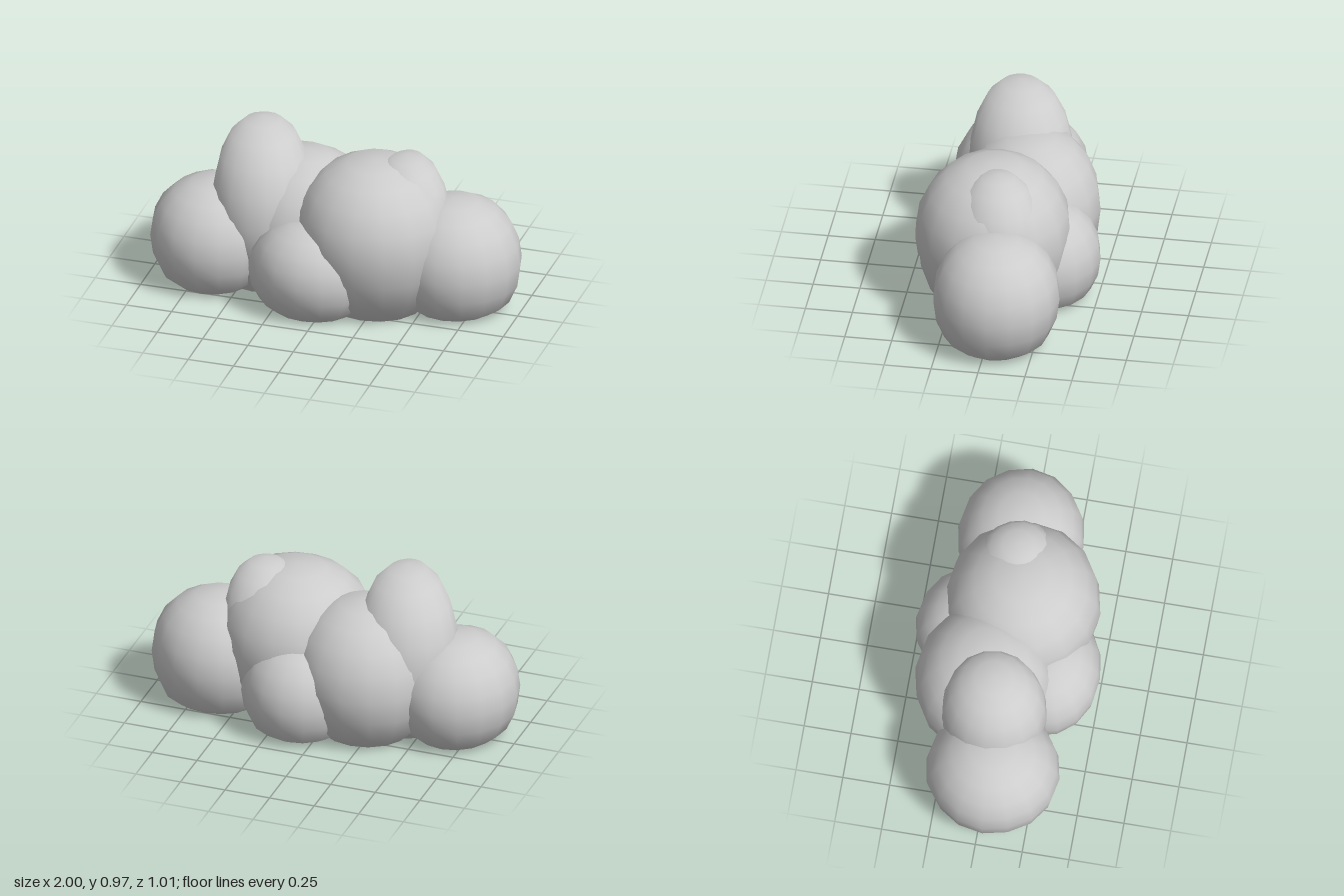
import * as THREE from 'three';

// Boxy low-poly ellipsoid with separate upper and lower heights, flattened
// where it meets the ground. The round sphere normals are kept so that the
// flat base still shades softly.
function puffGeometry([cx, cy, cz], [rx, rUp, rDown, rz], seed) {
  const geo = new THREE.SphereGeometry(1, 16, 10);
  const pos = geo.attributes.position;
  const v = new THREE.Vector3();
  for (let i = 0; i < pos.count; i++) {
    v.fromBufferAttribute(pos, i);
    // fuller shoulders above and below the middle
    const ring = Math.hypot(v.x, v.z);
    const full = ring > 1e-4 ? Math.pow(ring, -0.13) : 1;
    const lump = 1 + 0.01 * Math.sin(5 * v.x + seed) * Math.cos(4 * v.z + 2 * seed);
    const ry = v.y > 0 ? rUp : rDown;
    pos.setXYZ(i, cx + rx * v.x * full * lump,
      Math.max(0, cy + ry * v.y * lump), cz + rz * v.z * full * lump);
  }
  return geo;
}

export function createModel() {
  const group = new THREE.Group();
  group.name = 'cloud';
  const cloudGrey = new THREE.MeshStandardMaterial({ color: 0xcccccc, side: THREE.DoubleSide });
  cloudGrey.name = 'cloudGrey';

  // name, centre, radii (x, up, down, z)
  const puffs = [
    ['rightEndPuff', [-0.66, 0.26, 0.035], [0.34, 0.315, 0.34, 0.355]],
    ['towerPuff', [-0.405, 0.42, -0.005], [0.272, 0.55, 0.5, 0.283]],
    ['backCentrePuff', [-0.2, 0.33, -0.09], [0.39, 0.43, 0.43, 0.367]],
    ['mainPuff', [0.23, 0.42, 0.04], [0.425, 0.41, 0.54, 0.412]],
    ['upperLeftPuff', [0.39, 0.42, -0.01], [0.235, 0.44, 0.42, 0.24]],
    ['leftEndPuff', [0.64, 0.27, -0.04], [0.36, 0.355, 0.37, 0.335]],
    ['frontLowPuff', [-0.06, 0.23, 0.225], [0.345, 0.275, 0.3, 0.28]],
    ['backLowPuff', [0.12, 0.22, -0.2], [0.315, 0.31, 0.31, 0.31]],
  ];
  puffs.forEach(([name, centre, radii], i) => {
    const mesh = new THREE.Mesh(puffGeometry(centre, radii, i * 1.7 + 0.4), cloudGrey);
    mesh.name = name;
    group.add(mesh);
  });
  return group;
}
